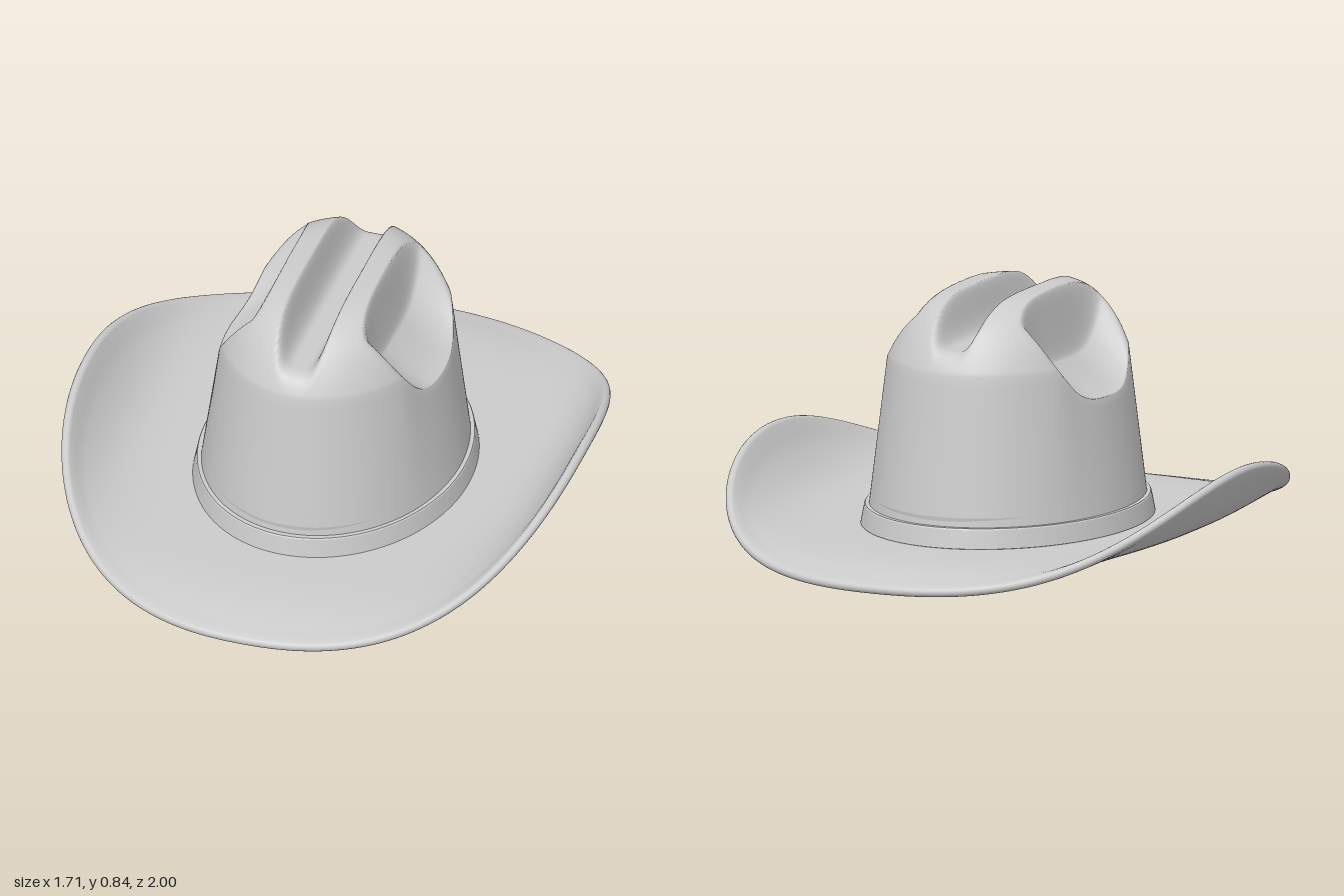
import * as THREE from 'three';

const COLS = 192;
const material = new THREE.MeshStandardMaterial({ color: 0xcccccc, side: THREE.DoubleSide });

// Closed-around surface: point(row, angle) -> [x, y, z]
function loopSurface(name, rows, point) {
  const positions = [], index = [];
  for (let i = 0; i < rows; i++) {
    for (let j = 0; j < COLS; j++) {
      positions.push(...point(i, (j / COLS) * Math.PI * 2));
      if (i === rows - 1) continue;
      const k = (j + 1) % COLS;
      const a = i * COLS + j, b = i * COLS + k, c = a + COLS, d = b + COLS;
      index.push(a, c, b, b, c, d);
    }
  }
  const geometry = new THREE.BufferGeometry();
  geometry.setAttribute('position', new THREE.Float32BufferAttribute(positions, 3));
  geometry.setIndex(index);
  geometry.computeVertexNormals();
  const mesh = new THREE.Mesh(geometry, material);
  mesh.name = name;
  return mesh;
}

const lerp = THREE.MathUtils.lerp;
const smooth = THREE.MathUtils.smoothstep;
const softMin = (a, b, k) => {
  const h = Math.max(k - Math.abs(a - b), 0) / k;
  return Math.min(a, b) - h * h * k * 0.25;
};

// Height of the crown top: dome, cut by a centre groove and two side dents
const RIM_X = 0.37, RIM_Z = 0.47;
function crownHeight(x, z) {
  const ax = Math.abs(x);
  const rho = Math.hypot(x / RIM_X, z / RIM_Z);
  const dome = 0.843 - 0.22 * rho ** 5;
  const groove = 0.69 + 0.12 * (ax / 0.08) ** 4;
  const dent = 0.505 + 0.13 * (Math.max(0.375 - ax, 0) / 0.2) ** 1.5
    + 0.22 * (Math.abs(z) / 0.3) ** 4
    + 0.35 * (1 - smooth(ax, 0.135, 0.2));
  return softMin(softMin(dome, groove, 0.06), dent, 0.05);
}

function makeCrown() {
  const wallRows = 16, topRows = 80;
  return loopSurface('crown', wallRows + topRows + 1, (i, t) => {
    const c = Math.cos(t), s = Math.sin(t);
    if (i < wallRows) {
      const f = i / wallRows;
      return [lerp(0.435, RIM_X, f) * c, lerp(0.06, crownHeight(RIM_X * c, RIM_Z * s), f), lerp(0.55, RIM_Z, f) * s];
    }
    const rho = 1 - (i - wallRows) / topRows;
    const x = RIM_X * rho * c, z = RIM_Z * rho * s;
    return [x, crownHeight(x, z), z];
  });
}

// Band: elliptical strip; repeated points keep the corners sharp
function makeBand() {
  const profile = [
    [0.42, 0.065], [0.452, 0.075], [0.452, 0.075], [0.44, 0.135], [0.44, 0.135],
    [0.437, 0.14], [0.437, 0.14], [0.415, 0.14],
  ];
  return loopSurface('hatBand', profile.length, (i, t) => {
    const [r, y] = profile[i];
    return [r * Math.cos(t), y, (r + 0.118) * Math.sin(t)];
  });
}

// Brim: sides curl up, front and back dip, edge is a rounded bead
function makeBrim() {
  const STEPS = 32, EDGE = 8, POWER = 3.5;
  const profile = [];
  for (let i = 0; i <= STEPS; i++) profile.push([i / STEPS, -Math.PI / 2]);
  for (let i = 1; i < EDGE; i++) profile.push([1, -Math.PI / 2 + (i / EDGE) * Math.PI]);
  for (let i = STEPS; i >= 0; i--) profile.push([i / STEPS, Math.PI / 2]);
  const lip = [[0.418, 0.17], [0.41, 0.11], [0.408, 0.08], [0.411, 0.06]];
  const signedPow = (v) => Math.sign(v) * Math.abs(v) ** (2 / 2.25);

  return loopSurface('brim', lip.length + profile.length, (i, t) => {
    const c = Math.cos(t), s = Math.sin(t);
    if (i < lip.length) {
      const [r, y] = lip[i];
      return [r * c, y, (r + 0.12) * s];
    }
    const [u, angle] = profile[i - lip.length];
    const ix = 0.42 * c, iz = 0.54 * s;
    const side = signedPow(s);
    const dx = 0.84 * signedPow(c) - ix, dz = 0.985 * side - iz;
    const length = Math.hypot(dx, dz);
    const edge = 0.295 - 0.281 * (1.65 * side ** 2 - 0.65 * side ** 4);
    const rise = edge - 0.06;
    const slope = Math.atan2(rise * POWER * u ** (POWER - 1), length);
    const half = 0.013 + 0.003 * smooth(u, 0.9, 0.97);
    // offset from the mid surface, turned to follow its slope
    const out = half * Math.cos(angle + slope), up = half * Math.sin(angle + slope);
    const k = u + out / length;
    return [ix + dx * k, 0.06 + rise * u ** POWER + up, iz + dz * k];
  });
}

export function createModel() {
  const hat = new THREE.Group();
  hat.name = 'hat';
  hat.add(makeBrim(), makeCrown(), makeBand());
  return hat;
}
